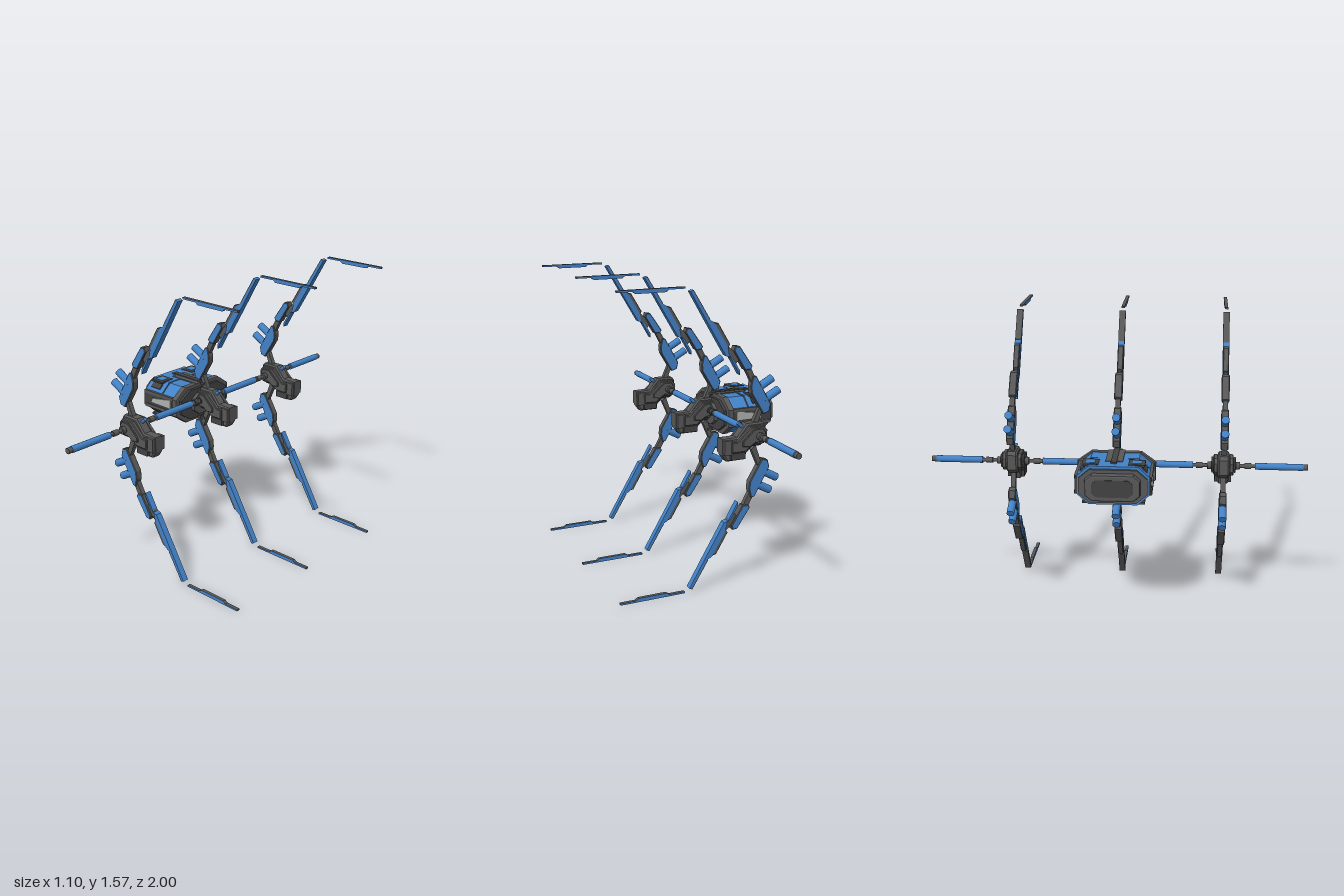
import * as THREE from 'three';

const MID = 0.7875;            // height of the mirror plane between upper and lower arms
const AXIS = [-0.195, 0.806];  // x, y of the long cross shaft

export function createModel() {
  const mat = (name, color) => Object.assign(new THREE.MeshStandardMaterial({ color }), { name });
  const blue = mat('blue paint', 0x4282c8);
  const dark = mat('dark metal', 0x585858);
  const deep = mat('deep grey', 0x434343);
  const light = mat('light panel', 0xb0b2b0);

  const model = new THREE.Group();
  model.name = 'spinedCraft';

  const add = (parent, name, geo, m) => {
    const mesh = new THREE.Mesh(geo, m);
    mesh.name = name;
    parent.add(mesh);
    return mesh;
  };
  const outline = pts => new THREE.Shape(pts.map(p => new THREE.Vector2(...p)));

  // Flat plate drawn in x/y, centred on z, optionally with bevelled edges
  function plate(parent, name, pts, t, m, z = 0, bevel = 0) {
    const geo = new THREE.ExtrudeGeometry(outline(pts), {
      depth: t - 2 * bevel, bevelEnabled: bevel > 0, bevelThickness: bevel,
      bevelSize: bevel, bevelOffset: -bevel, bevelSegments: 1,
    });
    geo.translate(0, 0, -t / 2 + bevel + z);
    return add(parent, name, geo, m);
  }

  // Round bar between two points
  function bar(parent, name, a, b, r, m, sides = 12) {
    const A = new THREE.Vector3(...a), B = new THREE.Vector3(...b);
    const mesh = add(parent, name, new THREE.CylinderGeometry(r, r, A.distanceTo(B), sides), m);
    mesh.position.copy(A).add(B).multiplyScalar(0.5);
    mesh.quaternion.setFromUnitVectors(new THREE.Vector3(0, 1, 0), B.sub(A).normalize());
    return mesh;
  }

  function box(parent, name, w, h, d, x, y, z, m) {
    const mesh = add(parent, name, new THREE.BoxGeometry(w, h, d), m);
    mesh.position.set(x, y, z);
    return mesh;
  }

  // One jointed arm; s = 1 is the upper one, s = -1 its mirror image
  function arm(s) {
    const g = new THREE.Group();
    g.name = s > 0 ? 'upperArm' : 'lowerArm';
    const Y = pts => pts.map(([x, y]) => [x, MID + s * (y - MID)]);
    const rod = (name, p, q, r, m) => {
      const [a, b] = Y([p, q]);
      bar(g, name, [...a, 0], [...b, 0], r, m);
    };
    // Root strut, thigh plate and its two stub tubes
    plate(g, 'rootStrut', Y([[-0.235, 0.93], [-0.215, 0.94], [-0.175, 0.85], [-0.2, 0.83]]), 0.026, dark);
    plate(g, 'thighPlate', Y([[-0.28, 0.955], [-0.27, 0.915], [-0.237, 0.905], [-0.167, 1.02],
      [-0.163, 1.06], [-0.175, 1.108], [-0.195, 1.105]]), 0.04, [blue, dark], 0, 0.004);
    rod('upperStub', [-0.293, 1.085], [-0.205, 1.037], 0.021, blue);
    rod('lowerStub', [-0.332, 1.022], [-0.245, 0.975], 0.021, blue);
    // Link and shin plate
    plate(g, 'link', Y([[-0.195, 1.09], [-0.155, 1.165], [-0.13, 1.15], [-0.172, 1.07]]), 0.026, dark);
    plate(g, 'shinPlate', Y([[-0.17, 1.16], [-0.098, 1.265], [-0.072, 1.268], [-0.064, 1.245],
      [-0.127, 1.143], [-0.16, 1.143]]), 0.042, [blue, dark], 0, 0.004);
    plate(g, 'shinLink', Y([[-0.1, 1.2], [-0.075, 1.235], [-0.035, 1.27], [-0.03, 1.235], [-0.075, 1.17]]), 0.018, dark);
    // Blade with a dark back plate along its outer edge
    plate(g, 'bladeBack', Y([[-0.045, 1.28], [0.02, 1.388], [0.055, 1.395], [0.075, 1.405],
      [-0.02, 1.235]]), 0.03, dark, 0, 0.003);
    plate(g, 'blade', Y([[-0.1, 1.12], [-0.1, 1.143], [-0.062, 1.205], [-0.04, 1.225], [-0.03, 1.27],
      [0.045, 1.395], [0.07, 1.408], [0.16, 1.555], [0.172, 1.55], [0.08, 1.393],
      [-0.022, 1.222], [-0.045, 1.215]]), 0.034, blue);
    plate(g, 'bladeSpine', Y([[0.07, 1.408], [0.16, 1.555], [0.156, 1.557], [0.066, 1.41]]), 0.034, dark);
    // Free tip plate
    plate(g, 'tipPlate', Y([[0.195, 1.565], [0.195, 1.574], [0.546, 1.574], [0.546, 1.565], [0.465, 1.565],
      [0.45, 1.554], [0.295, 1.554], [0.28, 1.565]]), 0.018, [blue, dark]);
    return g;
  }

  // Dark hub that carries one pair of arms
  function hub() {
    const g = new THREE.Group();
    g.name = 'hub';
    plate(g, 'hubCore', [[-0.25, 0.85], [-0.235, 0.868], [-0.14, 0.868], [-0.085, 0.802], [-0.005, 0.8],
      [-0.005, 0.715], [-0.028, 0.682], [-0.13, 0.682], [-0.14, 0.715], [-0.172, 0.745],
      [-0.22, 0.745], [-0.25, 0.77]], 0.06, dark, 0, 0.008);
    box(g, 'snout', 0.045, 0.075, 0.085, -0.03, 0.757, 0, dark);
    box(g, 'chinBlock', 0.08, 0.035, 0.09, -0.085, 0.708, 0, deep);
    for (const s of [1, -1]) {
      plate(g, 'cheekPlate', [[-0.245, 0.83], [-0.225, 0.855], [-0.15, 0.855], [-0.075, 0.785], [-0.045, 0.785],
        [-0.045, 0.73], [-0.12, 0.73], [-0.165, 0.762], [-0.225, 0.762], [-0.245, 0.785]],
        0.022, dark, s * 0.041, 0.004);
      plate(g, 'outerPlate', [[-0.23, 0.82], [-0.215, 0.845], [-0.165, 0.845], [-0.1, 0.785],
        [-0.1, 0.76], [-0.14, 0.755], [-0.17, 0.775], [-0.22, 0.775]], 0.012, dark, s * 0.058, 0.003);
      bar(g, 'pivotDisc', [...AXIS, s * 0.05], [...AXIS, s * 0.069], 0.02, deep, 16);
    }
    // Small blue fin on the brow
    bar(g, 'browFin', [-0.14, 0.835, 0], [-0.102, 0.87, 0], 0.01, blue, 8);
    return g;
  }

  for (const z of [-0.56, 0, 0.56]) {
    const rib = new THREE.Group();
    rib.name = 'rib';
    rib.add(hub(), arm(1), arm(-1));
    rib.position.z = z;
    model.add(rib);
  }

  // Cross shaft: sleeves and collars as [from, to, radius, material], mirrored in z
  const shaft = new THREE.Group();
  shaft.name = 'crossShaft';
  model.add(shaft);
  const pieces = [
    [0.0, 0.14, 0.013, dark], [0.085, 0.11, 0.019, deep], [0.13, 0.4, 0.018, blue],
    [0.4, 0.73, 0.01, dark], [0.415, 0.45, 0.016, dark], [0.475, 0.5, 0.02, dark],
    [0.62, 0.645, 0.02, dark], [0.67, 0.705, 0.016, dark], [0.725, 0.975, 0.018, blue],
    [0.975, 1.0, 0.016, dark],
  ];
  for (const s of [1, -1]) for (const [a, b, r, m] of pieces)
    bar(shaft, m === blue ? 'sleeve' : 'collar', [...AXIS, s * a], [...AXIS, s * b], r, m);

  // Central pod: eight-sided sections run along x
  const pod = new THREE.Group();
  pod.name = 'pod';
  model.add(pod);
  function section(name, x0, x1, w, top, h, side, m, bevel = 0) {
    const geo = new THREE.ExtrudeGeometry(outline([[w, -side], [w, side], [top, h], [-top, h],
      [-w, side], [-w, -side], [-top, -h], [top, -h]]), {
      depth: x1 - x0 - 2 * bevel, bevelEnabled: bevel > 0, bevelThickness: bevel,
      bevelSize: bevel, bevelOffset: -bevel, bevelSegments: 2,
    });
    geo.rotateY(Math.PI / 2).translate(x0 + bevel, MID, 0);
    add(pod, name, geo, m);
  }
  section('rearCap', -0.55, -0.49, 0.14, 0.105, 0.07, 0.04, dark, 0.01);
  section('rearInset', -0.553, -0.54, 0.105, 0.08, 0.045, 0.025, deep);
  section('rearRing', -0.515, -0.495, 0.175, 0.12, 0.088, 0.04, dark);
  section('rearShell', -0.5, -0.37, 0.187, 0.125, 0.102, 0.046, blue);
  section('seam', -0.375, -0.355, 0.183, 0.122, 0.098, 0.044, deep);
  section('frontShell', -0.36, -0.26, 0.187, 0.125, 0.1, 0.046, blue);
  section('collarRing', -0.27, -0.235, 0.207, 0.13, 0.104, 0.048, dark, 0.005);
  section('collarFace', -0.24, -0.22, 0.18, 0.11, 0.085, 0.04, deep);
  section('hubMount', -0.225, -0.2, 0.1, 0.06, 0.06, 0.03, dark);

  for (const s of [1, -1]) {
    // Side bay with a light wedge panel
    box(pod, 'sideBay', 0.25, 0.09, 0.012, -0.38, MID, s * 0.187, deep);
    for (const v of [1, -1])
      box(pod, 'sideRail', 0.24, 0.018, 0.016, -0.375, MID + v * 0.04, s * 0.19, dark);
    plate(pod, 'sidePanel', [[-0.445, 0.772], [-0.435, 0.798], [-0.29, 0.822], [-0.29, 0.77]],
      0.008, light, s * 0.196);
    // Spine strip and hatches above and below
    const y = MID + s * 0.1;
    box(pod, 'spineStrip', 0.19, 0.012, 0.09, -0.33, y, 0, dark);
    box(pod, 'spineRidge', 0.25, 0.014, 0.03, -0.33, y + s * 0.003, 0, deep);
    for (const z of [0.118, -0.118]) {
      box(pod, 'hatchFrame', 0.085, 0.01, 0.085, -0.435, y, z, deep);
      box(pod, 'hatchLid', 0.045, 0.008, 0.045, -0.435, y + s * 0.003, z, blue);
    }
    // Small hatches on the sloped flanks
    for (const t of [1, -1]) {
      const flank = box(pod, 'flankHatch', 0.07, 0.009, 0.035, -0.435, MID + s * 0.075, t * 0.157, deep);
      flank.rotation.x = s * t * Math.atan2(0.056, 0.062);
    }
  }
  return model;
}
